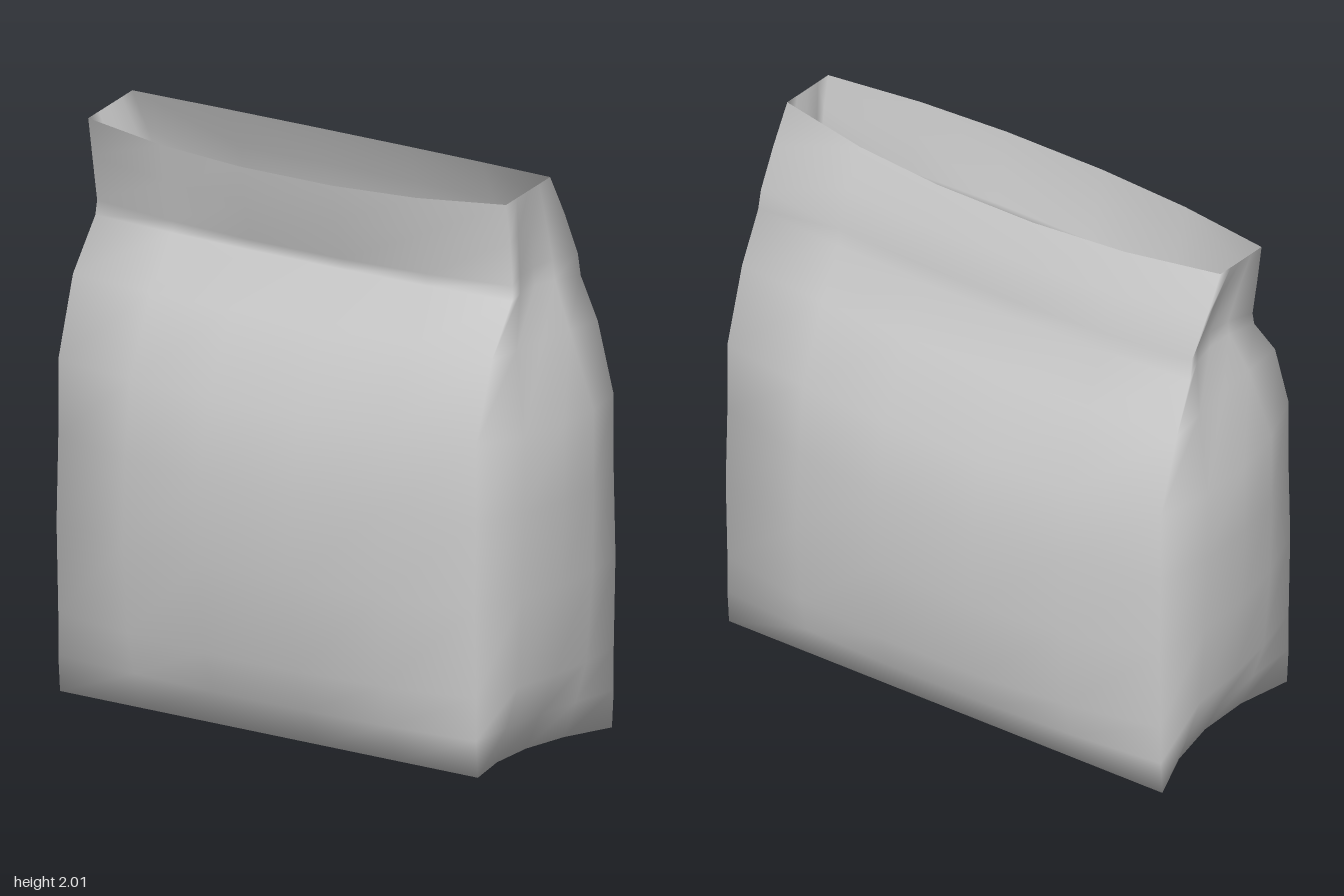
import * as THREE from 'three';

// Cross-sections from base to rim:
// [yFront, yBack, endLift, zFront, zBack, zFrontCorner, zBackCorner, xRight(-), xLeft(+), sideBulge]
const LEVELS = [
  [0.00, 0.00, 0, 0.38, -0.38, 0.38, -0.38, 0.88, 0.88, -0.08],
  [0.13, 0.13, 0, 0.435, -0.435, 0.39, -0.39, 0.88, 0.88, -0.02],
  [0.28, 0.28, 0, 0.49, -0.49, 0.39, -0.39, 0.88, 0.88, 0.04],
  [0.60, 0.60, 0, 0.525, -0.525, 0.40, -0.40, 0.88, 0.88, 0.07],
  [0.90, 0.90, 0, 0.51, -0.505, 0.39, -0.39, 0.88, 0.88, 0.08],
  [1.17, 1.17, 0, 0.465, -0.465, 0.39, -0.39, 0.88, 0.88, 0.08],
  [1.45, 1.45, 0, 0.335, -0.335, 0.30, -0.30, 0.885, 0.88, -0.01],
  [1.63, 1.63, 0, 0.21, -0.245, 0.18, -0.21, 0.88, 0.875, -0.05],
  [1.67, 1.70, 0.01, 0.22, -0.245, 0.17, -0.20, 0.88, 0.87, -0.05],
  [1.81, 1.84, 0.02, 0.255, -0.205, 0.17, -0.14, 0.90, 0.86, -0.03],
  [1.94, 1.98, 0.025, 0.275, -0.15, 0.18, -0.07, 0.91, 0.85, 0],
];
const ACROSS = [-1, -0.61, -0.22, 0.22, 0.61, 1]; // points across a broad panel
const TO_CORNER = [1, 0.31, 0, 0, 0.31, 1];       // how far each leans to the corner
const GUSSET = [[0.25, 0.75], [0.5, 1], [0.75, 0.75]];

function ring([yF, yB, lift, zF, zB, cF, cB, xR, xL, bulge]) {
  const { lerp } = THREE.MathUtils;
  const panel = (y, z, c) => ACROSS.map((s, i) =>
    [s * (s < 0 ? xR : xL), y + lift * TO_CORNER[i], lerp(z, c, TO_CORNER[i])]);
  const side = (sign, x) => GUSSET.map(([t, b]) =>
    [sign * (x + bulge * b), lerp(yF, yB, t) + lift, lerp(cF, cB, t)]);
  return [
    ...panel(yF, zF, cF),
    ...side(1, xL),
    ...panel(yB, zB, cB).reverse(),
    ...side(-1, xR).reverse(),
  ];
}

export function createModel() {
  const rings = LEVELS.map(ring);
  const n = rings[0].length;
  const positions = rings.flat(2);
  const index = [];

  // Walls
  for (let j = 0; j < rings.length - 1; j++) {
    for (let i = 0; i < n; i++) {
      const a = j * n + i, b = j * n + (i + 1) % n;
      index.push(a, b, b + n, a, b + n, a + n);
    }
  }
  // Closed base
  const centre = positions.length / 3;
  positions.push(0, 0.01, 0);
  for (let i = 0; i < n; i++) index.push(centre, (i + 1) % n, i);

  const geometry = new THREE.BufferGeometry();
  geometry.setAttribute('position', new THREE.Float32BufferAttribute(positions, 3));
  geometry.setIndex(index);
  geometry.computeVertexNormals();

  const bag = new THREE.Mesh(geometry, new THREE.MeshStandardMaterial({
    color: 0xcccccc, side: THREE.DoubleSide,
  }));
  bag.name = 'openBag';
  const group = new THREE.Group();
  group.name = 'paperBag';
  group.add(bag);
  return group;
}
